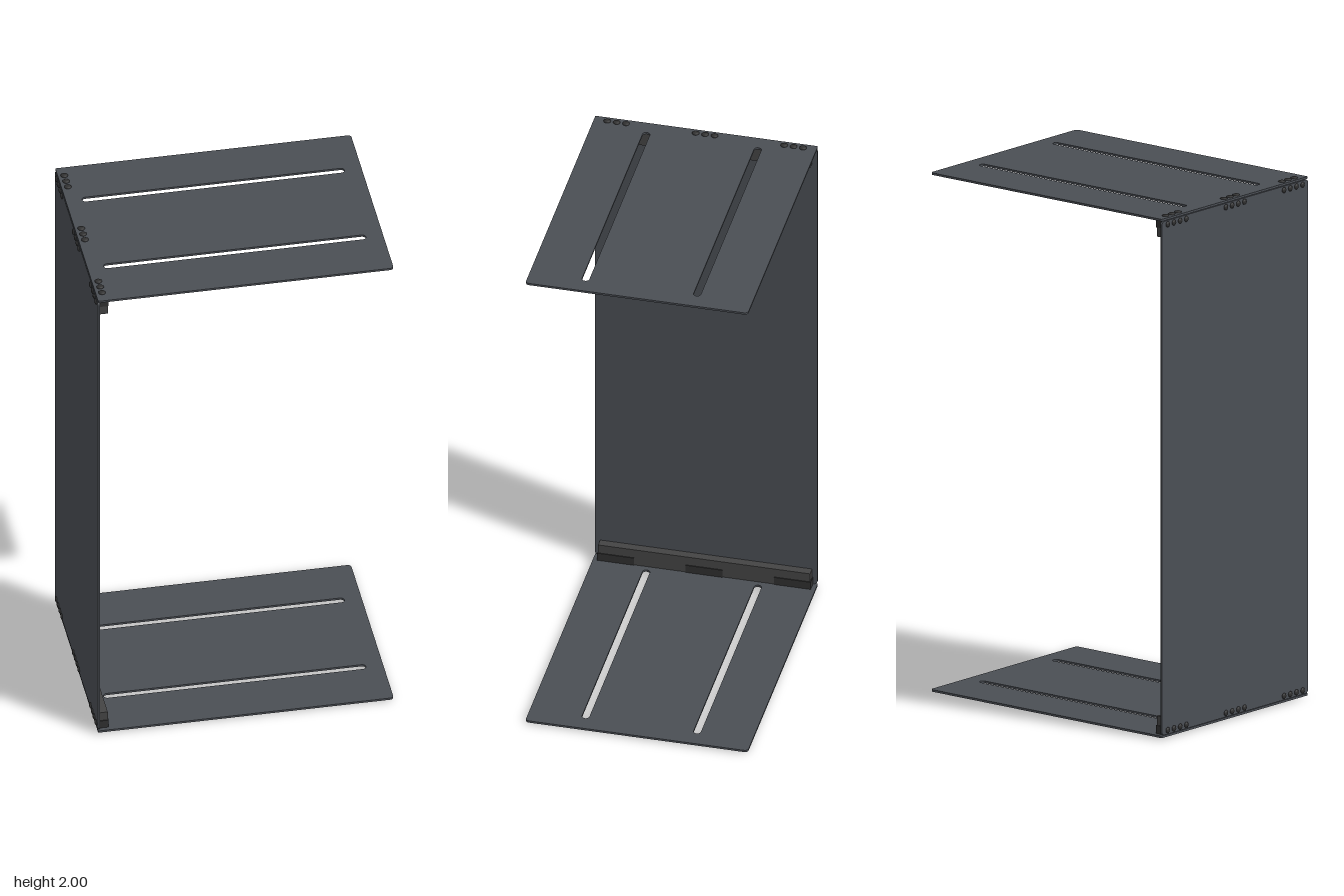
import * as THREE from 'three';

const plateMat = new THREE.MeshStandardMaterial({ color: 0x4a4e54 });
const barMat = new THREE.MeshStandardMaterial({ color: 0x444444 });
const hardwareMat = new THREE.MeshStandardMaterial({ color: 0x303030 });

const T = 0.008; // sheet thickness

function addMesh(parent, name, geometry, material, x = 0, y = 0, z = 0) {
  const mesh = new THREE.Mesh(geometry, material);
  mesh.name = name;
  mesh.position.set(x, y, z);
  parent.add(mesh);
  return mesh;
}

// Rectangle with its own radius on the low-x and high-x corners
function plateShape(x0, x1, halfWidth, r0, r1) {
  const s = new THREE.Shape();
  s.moveTo(x0 + r0, -halfWidth);
  s.lineTo(x1 - r1, -halfWidth);
  s.absarc(x1 - r1, -halfWidth + r1, r1, -Math.PI / 2, 0);
  s.absarc(x1 - r1, halfWidth - r1, r1, 0, Math.PI / 2);
  s.absarc(x0 + r0, halfWidth - r0, r0, Math.PI / 2, Math.PI);
  s.absarc(x0 + r0, -halfWidth + r0, r0, Math.PI, Math.PI * 1.5);
  return s;
}

function slot(x0, x1, z, r) {
  const p = new THREE.Path();
  p.moveTo(x0 + r, z - r);
  p.lineTo(x1 - r, z - r);
  p.absarc(x1 - r, z, r, -Math.PI / 2, Math.PI / 2);
  p.absarc(x0 + r, z, r, Math.PI / 2, Math.PI * 1.5);
  return p;
}

const extrude = (shape) =>
  new THREE.ExtrudeGeometry(shape, { depth: T, bevelEnabled: false, curveSegments: 8 });

// Low domed screw head, rising along +y
function screwHead(radius, height) {
  const profile = [[0.001, -0.004], [radius, -0.004], [radius, height * 0.35],
    [radius * 0.8, height * 0.75], [radius * 0.45, height], [0, height]];
  return new THREE.LatheGeometry(profile.map(([x, y]) => new THREE.Vector2(x, y)), 20);
}

// Slotted shelf sheet with its corner bar, connector blocks and screws, built as the top one
function makeEnd(name) {
  const end = new THREE.Group();
  end.name = name;

  const shape = plateShape(-0.556, 0.562, 0.425, 0.004, 0.014);
  for (const z of [-0.213, 0.213]) shape.holes.push(slot(-0.495, 0.497, z, 0.014));
  const sheet = extrude(shape);
  sheet.rotateX(-Math.PI / 2);
  addMesh(end, 'slottedSheet', sheet, plateMat, 0, 0.986, 0);

  // Stiffening bar inside the corner
  addMesh(end, 'cornerBar', new THREE.BoxGeometry(0.033, 0.068, 0.81), barMat, -0.5325, 0.952, 0);

  const topHead = screwHead(0.0135, 0.006);
  const sideHead = screwHead(0.011, 0.006);
  sideHead.rotateZ(Math.PI / 2);
  for (const z of [-0.338, 0, 0.338]) {
    addMesh(end, 'connectorBlock', new THREE.BoxGeometry(0.036, 0.032, 0.14), hardwareMat, -0.531, 0.97, z);
    for (const i of [-1, 0, 1]) {
      addMesh(end, 'sheetScrew', topHead, hardwareMat, -0.532, 0.994, z + i * 0.036);
    }
    for (const i of [-1.5, -0.5, 0.5, 1.5]) {
      addMesh(end, 'backScrew', sideHead, hardwareMat, -0.557, 0.969, z + i * 0.036);
    }
  }
  return end;
}

export function createModel() {
  const model = new THREE.Group();
  model.name = 'openShelfFrame';

  // Upright side sheet
  const upright = extrude(plateShape(-0.984, 0.984, 0.425, 0.014, 0.014));
  upright.rotateZ(Math.PI / 2);
  upright.rotateY(Math.PI / 2);
  addMesh(model, 'uprightSheet', upright, plateMat, -0.557, 1, 0);

  // Top end, and the same end turned over for the base
  const top = makeEnd('topEnd');
  top.position.y = 1;
  const base = makeEnd('baseEnd');
  base.position.y = 1;
  base.scale.y = -1;
  model.add(top, base);
  return model;
}
